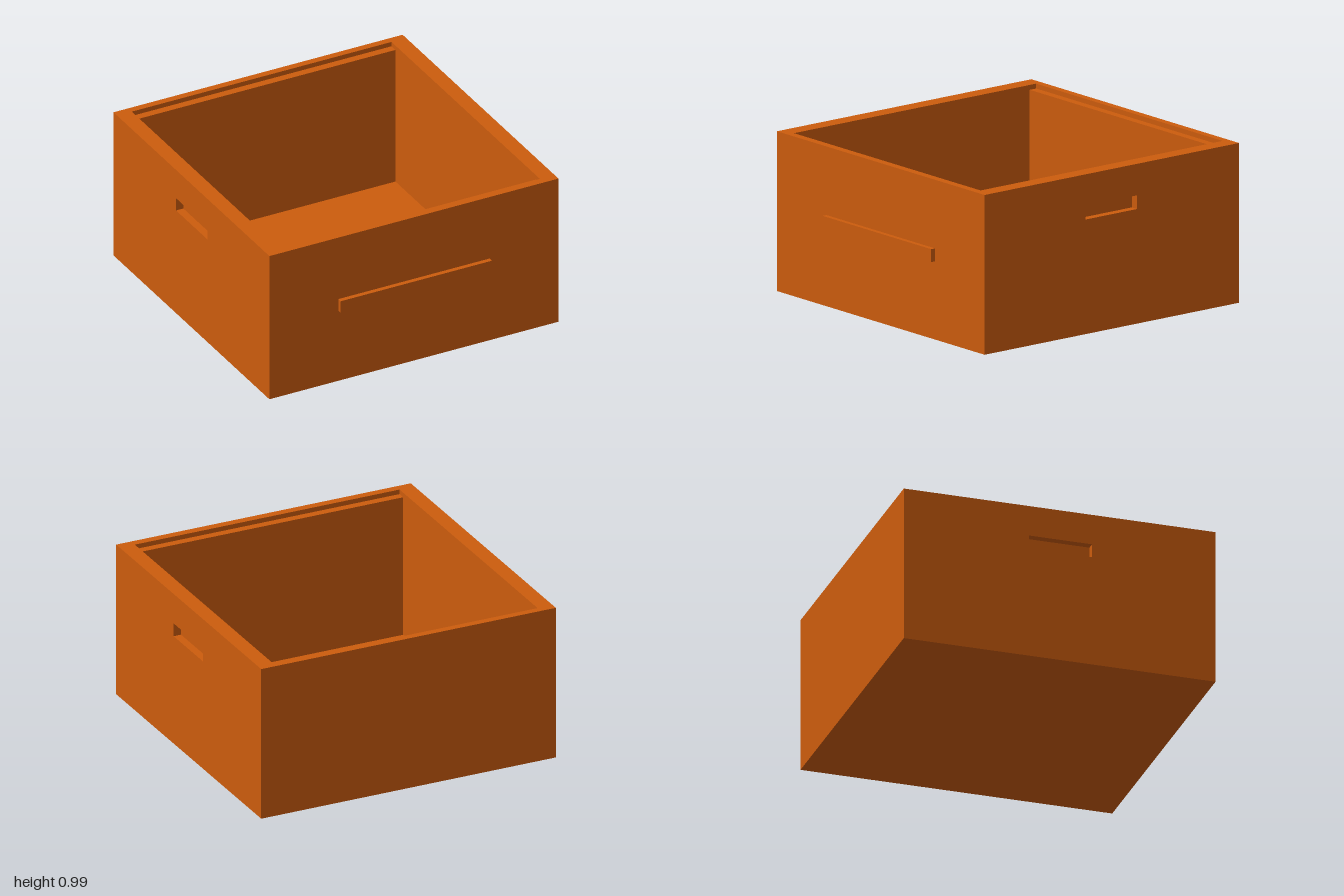
import * as THREE from 'three';
import { mergeGeometries } from 'three/addons/utils/BufferGeometryUtils.js';

// Box faces in order: +x, -x, +y, -y, +z, -z
const PX = 0, NX = 1, PY = 2, NY = 3;

// Box between two corners with some faces left out; inward turns the surface inside out
function shell(min, max, skip, inward) {
  const size = max.map((m, i) => m - min[i]);
  const g = new THREE.BoxGeometry(...size);
  g.translate(...max.map((m, i) => (m + min[i]) / 2));
  let index = Array.from(g.index.array).filter((_, i) => !skip.includes(Math.floor(i / 6)));
  if (inward) {
    index.reverse();
    const n = g.attributes.normal;
    for (let i = 0; i < n.count; i++) n.setXYZ(i, -n.getX(i), -n.getY(i), -n.getZ(i));
  }
  g.setIndex(index);
  g.clearGroups();
  return g;
}

function rect(Type, u0, v0, u1, v1) {
  const p = new Type();
  p.moveTo(u0, v0);
  p.lineTo(u1, v0);
  p.lineTo(u1, v1);
  p.lineTo(u0, v1);
  p.closePath();
  return p;
}

// Flat rectangle with an optional rectangular opening, facing +z
function panel(outer, hole) {
  const s = rect(THREE.Shape, ...outer);
  if (hole) s.holes.push(rect(THREE.Path, ...hole));
  return new THREE.ShapeGeometry(s);
}

export function createModel() {
  const group = new THREE.Group();
  const material = new THREE.MeshStandardMaterial({ color: 0xcc5c0d });
  const add = (name, parts) => {
    const mesh = new THREE.Mesh(mergeGeometries(parts), material);
    mesh.name = name;
    group.add(mesh);
  };

  const W = 0.985, H = 0.99, back = -1, front = 0.97;
  const inW = 0.885, floorY = 0.05, ledgeY = 0.96;
  const rim = [-0.955, 0.92], well = [-0.905, 0.87];
  const grip = { z0: -0.21, z1: 0.19, y0: 0.71, y1: 0.795, depth: 0.05 };

  // Outside: front, back and bottom, then the two sides with grip openings
  add('outerWalls', [
    shell([-W, 0, back], [W, H, front], [PX, NX, PY], false),
    panel([-front, 0, -back, H], [-grip.z1, grip.y0, -grip.z0, grip.y1])
      .rotateY(Math.PI / 2).translate(W, 0, 0),
    panel([back, 0, front, H], [grip.z0, grip.y0, grip.z1, grip.y1])
      .rotateY(-Math.PI / 2).translate(-W, 0, 0),
  ]);

  // Top rim
  add('rim', [
    panel([-W, -front, W, -back], [-inW, -rim[1], inW, -rim[0]])
      .rotateX(-Math.PI / 2).translate(0, H, 0),
  ]);

  // Inside: stepped top at front and back, deep well below
  const ledge = (z0, z1) => panel([-inW, -z1, inW, -z0]).rotateX(-Math.PI / 2).translate(0, ledgeY, 0);
  add('interior', [
    shell([-inW, ledgeY, rim[0]], [inW, H, rim[1]], [PY, NY], true),
    ledge(rim[0], well[0]),
    ledge(well[1], rim[1]),
    shell([-inW, floorY, well[0]], [inW, ledgeY, well[1]], [PY], true),
  ]);

  // Blind finger grips in both sides
  add('leftGrip', [shell([W - grip.depth, grip.y0, grip.z0], [W, grip.y1, grip.z1], [PX], true)]);
  add('rightGrip', [shell([-W, grip.y0, grip.z0], [-W + grip.depth, grip.y1, grip.z1], [NX], true)]);

  // Handle bar on the front
  add('frontHandle', [shell([-0.515, 0.485, front], [0.515, 0.565, 1], [], false)]);

  return group;
}
